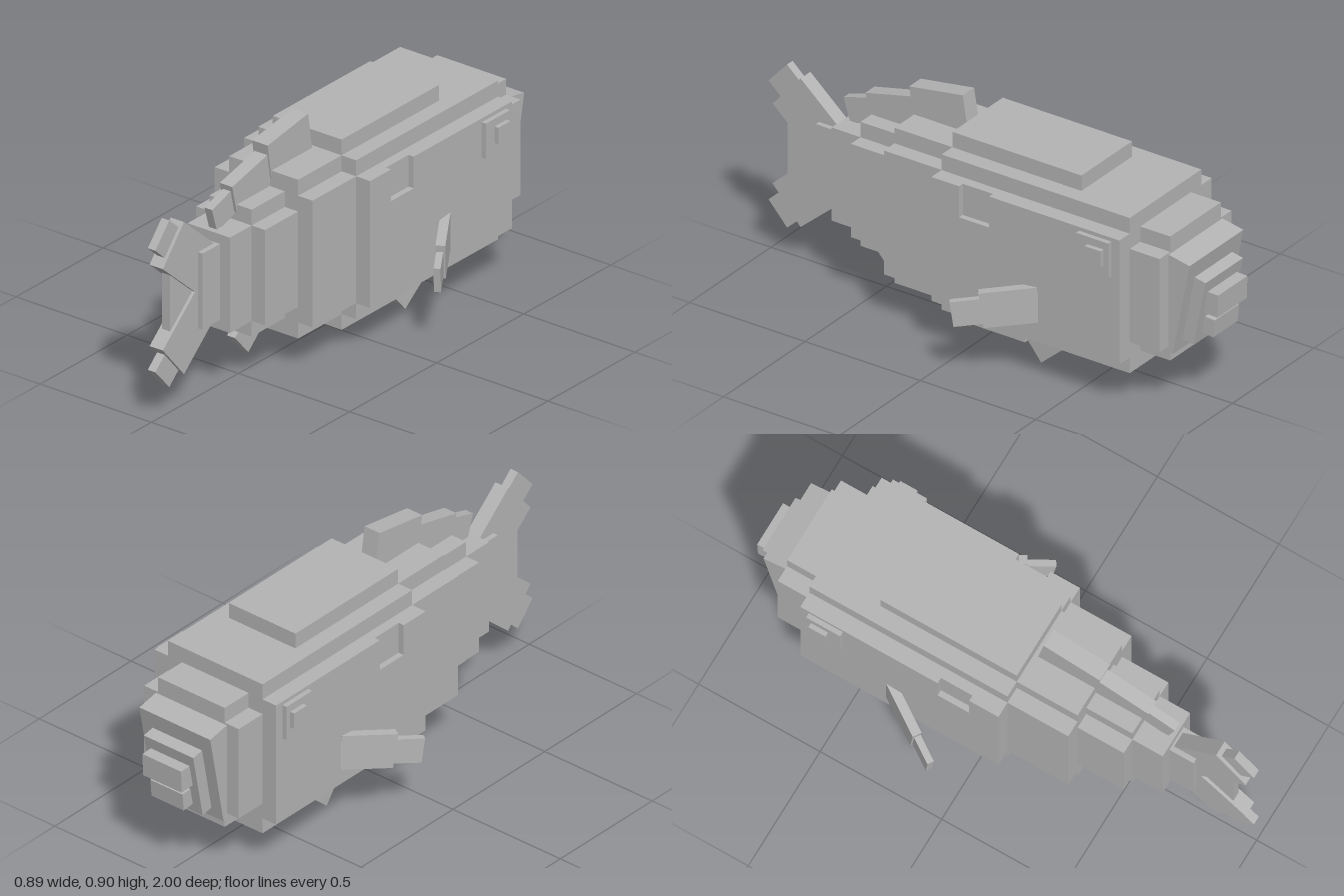
import * as THREE from 'three';

const deg = Math.PI / 180;

export function createModel() {
  const model = new THREE.Group();
  model.name = 'blockFish';
  const grey = new THREE.MeshStandardMaterial({ color: 0xb4b4b4 });
  grey.name = 'grey';

  function add(name, geometry) {
    const mesh = new THREE.Mesh(geometry, grey);
    mesh.name = name;
    model.add(mesh);
    return mesh;
  }
  // Upright block centred on x, given half width and its y and z ranges
  function block(name, half, y0, y1, z0, z1, x = 0) {
    const m = add(name, new THREE.BoxGeometry(half * 2, y1 - y0, z1 - z0));
    m.position.set(x, (y0 + y1) / 2, (z0 + z1) / 2);
    return m;
  }
  // Tilted block: size [x, y, z], centre, pitch and yaw in degrees
  function tilted(name, size, at, pitch, yaw = 0) {
    const m = add(name, new THREE.BoxGeometry(...size));
    m.position.set(...at);
    m.rotation.set(pitch * deg, yaw * deg, 0, 'YXZ');
    return m;
  }

  // Stepped body, head towards -z
  block('bodyCore', 0.26, 0.2, 0.7, -0.71, 0.105);
  block('bodyStep', 0.22, 0.137, 0.763, -0.71, 0.105);
  block('backRidge', 0.155, 0.7, 0.825, -0.455, 0.105);
  block('bellyRidge', 0.155, 0.075, 0.2, -0.21, 0.105);
  block('rearBodyWide', 0.22, 0.2, 0.7, 0.1, 0.355);
  block('rearBodyTall', 0.155, 0.137, 0.763, 0.1, 0.355);
  block('tailBaseWide', 0.155, 0.262, 0.638, 0.35, 0.545);
  block('tailBaseTall', 0.095, 0.2, 0.7, 0.35, 0.545);
  block('tailStem', 0.095, 0.262, 0.638, 0.54, 0.67);
  block('tailStemEnd', 0.05, 0.3, 0.6, 0.66, 0.77);

  // Side panels with a square notch in the upper edge
  const panel = new THREE.Shape([
    [-0.105, 0.2], [0.71, 0.2], [0.71, 0.7], [0.145, 0.7],
    [0.145, 0.575], [0.015, 0.575], [0.015, 0.7], [-0.105, 0.7],
  ].map(([a, b]) => new THREE.Vector2(a, b)));
  for (const x of [0.26, -0.283]) {
    const g = new THREE.ExtrudeGeometry(panel, { depth: 0.023, bevelEnabled: false });
    g.rotateY(Math.PI / 2);
    add('sidePanel', g).position.x = x;
  }

  // Head, face plates and lips
  block('headWide', 0.22, 0.262, 0.638, -0.84, -0.7);
  block('headTall', 0.155, 0.2, 0.7, -0.84, -0.7);
  tilted('facePlate', [0.33, 0.385, 0.1], [0, 0.434, -0.845], -11);
  tilted('muzzle', [0.23, 0.27, 0.1], [0, 0.41, -0.89], -11);
  tilted('upperLip', [0.18, 0.09, 0.1], [0, 0.44, -0.95], -2);
  tilted('lowerLip', [0.15, 0.07, 0.1], [0, 0.338, -0.923], -5);

  for (const s of [1, -1]) {
    // Eyes
    block('eyeRim', 0.02, 0.545, 0.685, -0.675, -0.535, s * 0.282);
    block('eyePupil', 0.02, 0.59, 0.655, -0.655, -0.585, s * 0.3);
    // Swept-back side fins
    tilted('sideFin', [0.035, 0.14, 0.21], [s * 0.322, 0.315, -0.265], 8, s * 33);
    tilted('sideFinTip', [0.025, 0.1, 0.16], [s * 0.39, 0.29, -0.155], 8, s * 33);
    // Belly fins
    tilted('bellyFin', [0.036, 0.1, 0.2], [s * 0.13, 0.112, -0.317], 41, s * -4);
  }

  // Fins along the back and below the tail
  tilted('dorsalFinFront', [0.07, 0.17, 0.235], [0, 0.804, 0.247], 9);
  tilted('dorsalFinMiddle', [0.056, 0.15, 0.22], [0, 0.732, 0.447], 13.5);
  tilted('dorsalFinRear', [0.034, 0.1, 0.18], [0, 0.703, 0.573], 17);
  tilted('analFin', [0.036, 0.115, 0.2], [0, 0.194, 0.43], 42);

  // Forked tail, mirrored about its centre line
  block('tailWeb', 0.018, 0.335, 0.565, 0.7, 0.915);
  for (const s of [1, -1]) {
    tilted('tailLobe', [0.06, 0.185, 0.29], [0, 0.45 + s * 0.135, 0.802], s * -41);
    tilted('tailTip', [0.034, 0.12, 0.15], [0, 0.45 + s * 0.234, 0.903], s * -42);
  }
  return model;
}
